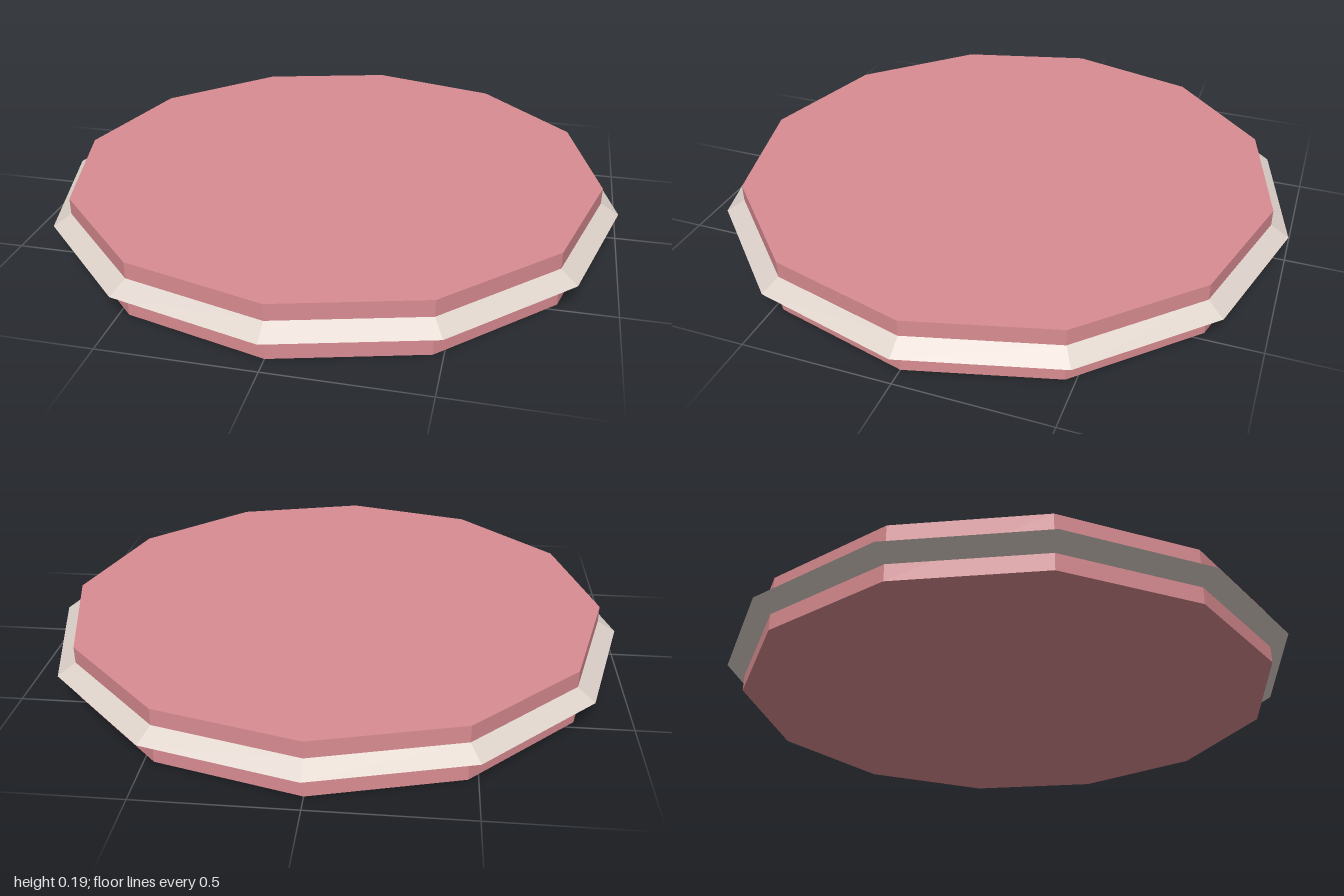
import * as THREE from 'three';

const SIDES = 12;
const RADIUS = 0.9375;
const HEIGHT = 0.1875;
const RIM = 0.0625; // how far the rim stands out

function addPart(group, name, geometry, color) {
  const material = new THREE.MeshStandardMaterial({ color, flatShading: true });
  const mesh = new THREE.Mesh(geometry, material);
  mesh.name = name;
  mesh.position.y = HEIGHT / 2;
  group.add(mesh);
}

export function createModel() {
  const group = new THREE.Group();
  group.name = 'disc';

  // Twelve-sided flat body
  addPart(group, 'body', new THREE.CylinderGeometry(RADIUS, RADIUS, HEIGHT, SIDES), 0xd98c91);

  // Flattened diamond-section ring around the middle
  const rim = new THREE.TorusGeometry(RADIUS, RIM, 4, SIDES);
  rim.rotateX(-Math.PI / 2);
  rim.scale(1, 0.6, 1);
  addPart(group, 'rim', rim, 0xddd2ca);

  return group;
}
